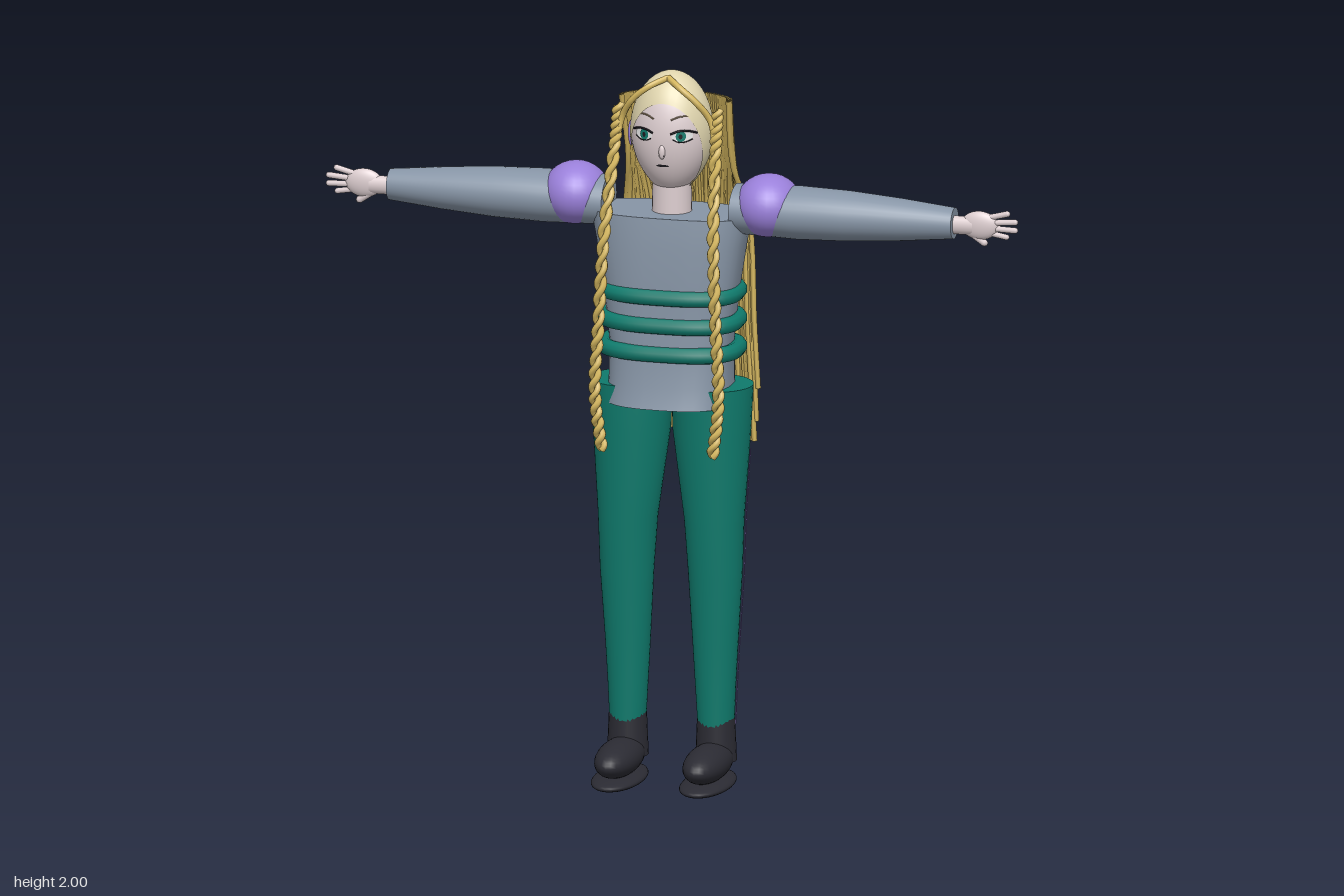
import * as THREE from 'three';

const mat = (name, color, side = THREE.FrontSide) => {
  const m = new THREE.MeshStandardMaterial({ color, side });
  m.name = name;
  return m;
};
const V = (x, y, z) => new THREE.Vector3(x, y, z);

// Closed loft through rows of [y, centreX, radiusX, centreZ, radiusZ]; e < 1 squares off the section
function loft(rows, e = 1, seg = 32) {
  const pos = [], idx = [], n = rows.length;
  const pw = (v) => Math.sign(v) * Math.abs(v) ** e;
  const ring = ([y, cx, rx, cz, rz]) => {
    for (let i = 0; i < seg; i++) {
      const a = (i / seg) * Math.PI * 2;
      pos.push(cx + rx * pw(Math.sin(a)), y, cz + rz * pw(Math.cos(a)));
    }
  };
  rows.forEach(ring);
  for (let r = 0; r < n - 1; r++) for (let i = 0; i < seg; i++) {
    const a = r * seg + i, b = r * seg + (i + 1) % seg;
    idx.push(a, b, b + seg, a, b + seg, a + seg);
  }
  for (const [row, top] of [[rows[0], false], [rows[n - 1], true]]) {
    const s = pos.length / 3;
    ring(row);
    pos.push(row[1], row[0], row[3]);
    for (let i = 0; i < seg; i++) {
      const a = s + i, b = s + (i + 1) % seg;
      idx.push(...(top ? [a, b, s + seg] : [b, a, s + seg]));
    }
  }
  const g = new THREE.BufferGeometry();
  g.setAttribute('position', new THREE.Float32BufferAttribute(pos, 3));
  g.setIndex(idx);
  g.computeVertexNormals();
  return g;
}

// Move every vertex by a rule
function warp(g, fn) {
  const p = g.attributes.position, v = V(0, 0, 0);
  for (let i = 0; i < p.count; i++) {
    v.fromBufferAttribute(p, i);
    fn(v);
    p.setXYZ(i, v.x, v.y, v.z);
  }
  g.computeVertexNormals();
  return g;
}
const tube = (pts, r, n = 14, sides = 6, closed = false) =>
  new THREE.TubeGeometry(new THREE.CatmullRomCurve3(pts, closed), n, r, sides, closed);
const ball = (rx, ry, rz) => new THREE.SphereGeometry(1, 28, 20).scale(rx, ry, rz);

// Egg-shaped head
const HEAD = { y: 1.83, rx: 0.112, ry: 0.168, rz: 0.104 };
const jaw = (t) => (t < 0 ? 1 - 0.2 * t * t : 1);
const headWarp = (k) => (v) => v.set(
  v.x * HEAD.rx * jaw(v.y) * k, HEAD.y + v.y * HEAD.ry * k, v.z * HEAD.rz * k);
const faceZ = (x, y) => {
  const t = (y - HEAD.y) / HEAD.ry, s = x / (HEAD.rx * jaw(t));
  return HEAD.rz * Math.sqrt(Math.max(0, 1 - t * t - s * s));
};

const LEG = [
  [0.16, 0.125, 0.05, 0, 0.052], [0.28, 0.124, 0.056, 0.002, 0.055], [0.4, 0.124, 0.063, 0.003, 0.059],
  [0.6, 0.125, 0.075, 0.008, 0.068], [0.75, 0.122, 0.083, 0.008, 0.078],
  [1.0, 0.113, 0.108, 0, 0.102], [1.13, 0.115, 0.113, 0, 0.106]];
const legAt = (y) => {
  const i = Math.max(0, Math.min(LEG.length - 2, LEG.findIndex((r) => r[0] > y) - 1));
  const t = (y - LEG[i][0]) / (LEG[i + 1][0] - LEG[i][0]);
  return LEG[i].map((v, k) => v + (LEG[i + 1][k] - v) * t);
};

export function createModel() {
  const root = new THREE.Group();
  const skin = mat('skin', 0xdccdcf, THREE.DoubleSide), gold = mat('golden hair', 0xd6b860);
  const pale = mat('pale hair', 0xe0d5ae), grey = mat('grey blue cloth', 0x8795a6);
  const purple = mat('purple', 0x9a80da, THREE.DoubleSide), teal = mat('teal', 0x0f7a6c);
  const black = mat('shoe black', 0x2b2b33), white = mat('eye white', 0xf2f2f2);
  const dark = mat('dark line', 0x1c1a20), brow = mat('brow brown', 0x9a8468);
  const add = (name, g, m, parent = root) => {
    const mesh = new THREE.Mesh(g, m);
    mesh.name = name;
    parent.add(mesh);
    return mesh;
  };
  let seed = 7;
  const rnd = () => (seed = (seed * 16807) % 2147483647) / 2147483647;

  // Torso, belts and neck
  add('torso', loft([
    [1.08, 0, 0.175, 0.005, 0.142], [1.14, 0, 0.17, 0.002, 0.13], [1.25, 0, 0.17, 0, 0.12],
    [1.4, 0, 0.187, 0, 0.121], [1.53, 0, 0.208, 0, 0.118], [1.61, 0, 0.225, 0, 0.108]], 0.75, 40), grey);
  for (const y of [1.23, 1.31, 1.39]) {
    const pts = [];
    for (let i = 0; i < 32; i++) {
      const a = (i / 32) * Math.PI * 2, s = Math.sin(a), c = Math.cos(a);
      pts.push(V(0.183 * Math.sign(s) * Math.abs(s) ** 0.75, y, 0.117 * Math.sign(c) * Math.abs(c) ** 0.75));
    }
    add('belt', tube(pts, 0.023, 64, 10, true), teal);
  }
  add('neck', new THREE.CylinderGeometry(0.053, 0.056, 0.14, 24).translate(0, 1.64, 0), skin);

  // Head and tilted hair cap
  add('head', warp(new THREE.SphereGeometry(1, 40, 32), headWarp(1)), skin);
  add('hairCap', warp(new THREE.SphereGeometry(1, 40, 32, 0, Math.PI * 2, 0, 2.08).rotateX(-1.12), headWarp(1.03)), pale);

  // Thin face details that follow the face
  const onFace = (name, pts, lift, m) => {
    const shape = new THREE.Shape(new THREE.SplineCurve(
      pts.concat([pts[0]]).map(([x, y]) => new THREE.Vector2(x, y))).getPoints(28));
    add(name, warp(new THREE.ShapeGeometry(shape), (v) => { v.z = faceZ(v.x, v.y) + lift; }), m);
  };
  const oval = (cx, cy, rx, ry) => Array.from({ length: 12 }, (_, i) => {
    const a = (i / 12) * Math.PI * 2;
    return [cx + rx * Math.cos(a), cy + ry * Math.sin(a)];
  });
  for (const s of [-1, 1]) {
    onFace('eyeWhite', oval(s * 0.054, 1.843, 0.027, 0.015), 0.003, white);
    onFace('iris', oval(s * 0.052, 1.843, 0.013, 0.015), 0.005, teal);
    onFace('pupil', oval(s * 0.052, 1.843, 0.005, 0.007), 0.007, dark);
    const arc = (y0, r, lift, name, m, x0, x1, h) => add(name, tube([0, 0.33, 0.66, 1].map((t) => {
      const x = s * (x0 + (x1 - x0) * t), y = y0 + h * Math.sin(Math.PI * (t * 0.8 + 0.1));
      return V(x, y, faceZ(x, y) + lift);
    }), r, 10, 5), m);
    arc(1.845, 0.003, 0.004, 'upperLash', dark, 0.024, 0.09, 0.014);
    arc(1.838, 0.0015, 0.003, 'lowerLash', dark, 0.03, 0.08, -0.012);
    arc(1.883, 0.0022, 0.002, 'eyebrow', brow, 0.024, 0.088, 0.014);
    onFace('nostril', oval(s * 0.006, 1.787, 0.003, 0.002), 0.006, dark);
    add('earring', ball(0.008, 0.036, 0.012).translate(s * 0.116, 1.82, 0), purple);
  }
  add('nose', ball(0.009, 0.02, 0.008).translate(0, 1.797, faceZ(0, 1.797)), skin);
  onFace('mouth', oval(0, 1.757, 0.018, 0.0035), 0.003, dark);

  // Back curtain of hair strands
  const curtain = new THREE.Group();
  curtain.name = 'backHair';
  root.add(curtain);
  const N = 60;
  for (let i = 0; i < N; i++) {
    const u = (i / (N - 1)) * 2 - 1, a = u * 1.65, s = Math.sin(a), c = Math.cos(a), w = Math.cos(u * 1.5);
    const j = (rnd() - 0.5) * 0.012, end = 0.88 + rnd() * 0.22;
    add('hairStrand', tube([
      V(s * 0.152, 1.92, -0.035 - c * 0.085), V(s * 0.148, 1.73, -0.09 - c * 0.075),
      V(u * 0.16 + s * 0.015, 1.57, -0.143 - w * 0.075 + j), V(u * 0.19, 1.25, -0.147 - w * 0.078 + j),
      V(u * 0.205 + j, end, -0.15 - w * 0.075 + j)], 0.0078, 16, 5), gold, curtain);
  }

  for (const s of [-1, 1]) {
    // Parted front lock and twisted braid
    add('frontLock', tube([V(0, 1.992, 0.04), V(s * 0.045, 1.972, 0.075), V(s * 0.09, 1.935, 0.075),
      V(s * 0.125, 1.88, 0.055), V(s * 0.14, 1.81, 0.065)], 0.009, 24, 8), gold);
    const path = new THREE.CatmullRomCurve3([V(s * 0.14, 1.91, 0.04), V(s * 0.143, 1.8, 0.07), V(s * 0.155, 1.56, 0.137),
      V(s * 0.166, 1.32, 0.152), V(s * 0.175, 1.12, 0.156), V(s * 0.157, 0.96, 0.15)]);
    for (const ph of [0, Math.PI]) {
      const pts = [];
      for (let i = 0; i <= 150; i++) {
        const t = i / 150, a = t * 80 + ph;
        pts.push(path.getPoint(t).add(V(Math.cos(a) * 0.009, 0, Math.sin(a) * 0.006)));
      }
      add('braid', tube(pts, 0.0095, 220, 6), gold);
    }

    // Arm, built upright then laid out sideways
    add('sleeve', loft([[0.18, 0, 0.068, 0, 0.08], [0.36, 0, 0.073, 0, 0.085], [0.5, 0, 0.069, 0, 0.077],
      [0.65, 0, 0.058, 0, 0.062], [0.8, 0, 0.043, 0, 0.043]]).rotateZ(-s * Math.PI / 2).translate(0, 1.626, -0.004), grey);
    add('shoulderPuff', ball(0.092, 0.087, 0.1).translate(s * 0.273, 1.641, -0.004), purple);

    // Hand with spread fingers
    const hand = new THREE.Group();
    hand.name = 'hand';
    root.add(hand);
    const limb = (name, x0, y0, x1, y1, r) => {
      const d = V(s * (x1 - x0), y1 - y0, 0), len = d.length();
      const g = new THREE.CapsuleGeometry(r, len, 4, 10)
        .applyQuaternion(new THREE.Quaternion().setFromUnitVectors(V(0, 1, 0), d.normalize()));
      add(name, g.translate(s * (x0 + x1) / 2, (y0 + y1) / 2, 0), skin, hand);
    };
    add('wrist', new THREE.CylinderGeometry(0.026, 0.026, 0.07, 16).rotateZ(Math.PI / 2).scale(1, 1, 0.75)
      .translate(s * 0.82, 1.623, 0), skin, hand);
    add('palm', ball(0.053, 0.04, 0.019).translate(s * 0.872, 1.626, 0), skin, hand);
    limb('finger', 0.9, 1.65, 0.95, 1.663, 0.0085);
    limb('finger', 0.9, 1.635, 0.972, 1.641, 0.0085);
    limb('finger', 0.9, 1.62, 0.972, 1.618, 0.0085);
    limb('finger', 0.9, 1.606, 0.948, 1.598, 0.008);
    limb('thumb', 0.845, 1.605, 0.885, 1.578, 0.01);

    // Trouser leg with side stripe and torn patch
    add('trouserLeg', loft(LEG.map((r) => r.map((v, k) => (k === 1 ? s * v : v)))), teal);
    add('sideStripe', warp(new THREE.PlaneGeometry(0.011, 0.78, 1, 24), (v) => {
      const y = v.y + 0.56, [, cx, rx] = legAt(y);
      v.set(s * (cx + rx + 0.002), y, -0.012 - s * v.x);
    }), purple);
    const tear = new THREE.Shape([[-0.05, 0], [-0.034, 0.012], [-0.03, 0.03], [-0.016, 0.016], [-0.004, 0.052],
      [0.01, 0.02], [0.026, 0.026], [0.032, 0.008], [0.05, 0.002], [0.032, -0.012], [0.024, -0.03],
      [0.01, -0.018], [-0.004, -0.05], [-0.014, -0.02], [-0.03, -0.024]].map(([x, y]) => new THREE.Vector2(x, y)));
    add('tornPatch', warp(new THREE.ShapeGeometry(tear), (v) => {
      const y = v.y + 0.38, [, cx, rx, cz, rz] = legAt(y), a = v.x / rx;
      v.set(s * cx + Math.sin(a) * (rx + 0.005), y, cz - Math.cos(a) * (rz + 0.005));
    }), skin);

    // Shoe
    add('ankle', new THREE.CylinderGeometry(0.052, 0.057, 0.12, 24).translate(s * 0.125, 0.13, 0), black);
    add('shoeUpper', ball(0.06, 0.05, 0.145).translate(s * 0.125, 0.08, 0.083), black);
    add('shoeSole', ball(0.07, 0.021, 0.152).translate(s * 0.125, 0.023, 0.083), black);
  }
  return root;
}
